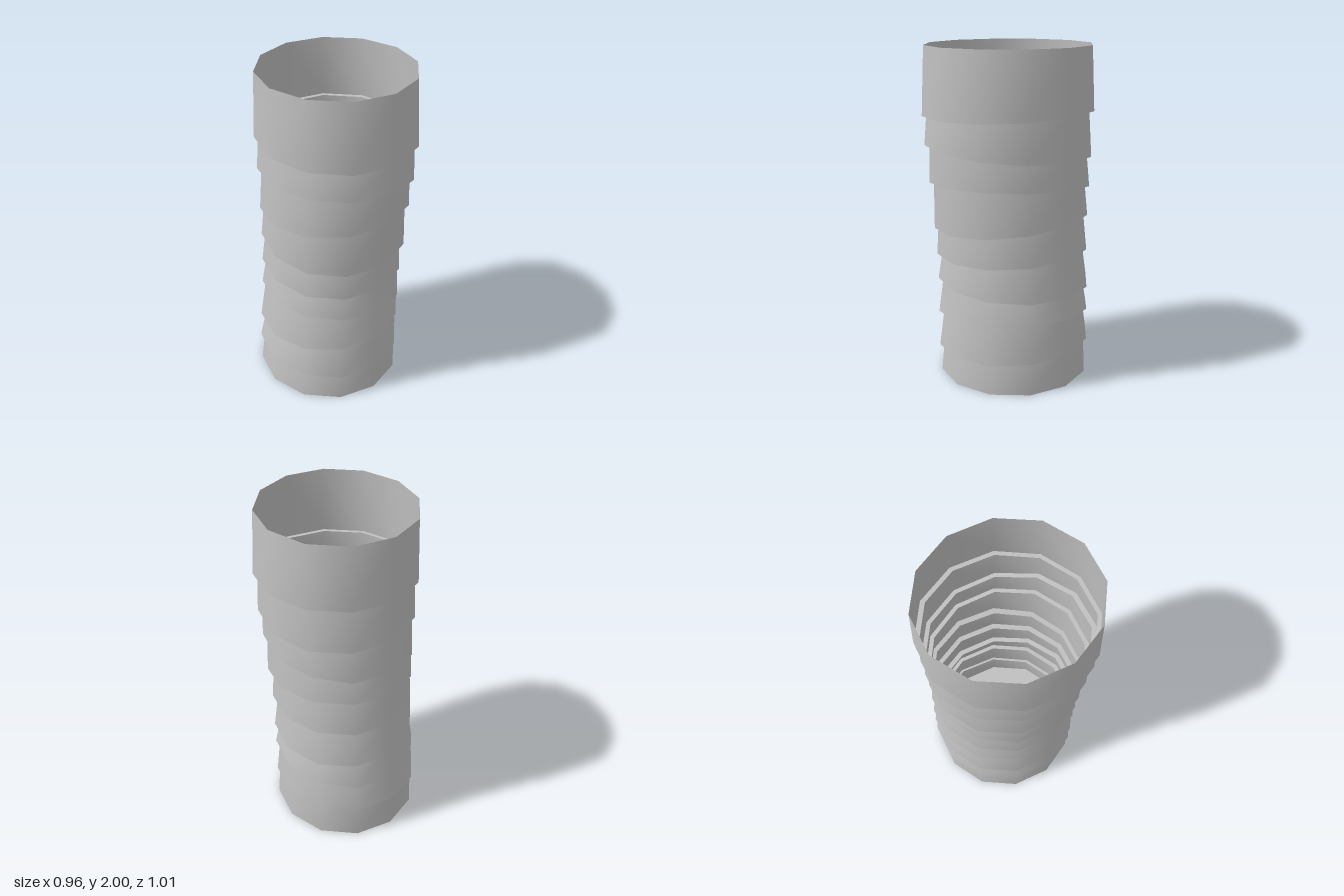
import * as THREE from 'three';

const SIDES = 12;

// Twelve-cornered hoop, tilted about its centre.
// ext = [xMin, xMax, zMin, zMax], tilt = [height, rise toward +x, rise toward +z]
function hoop([x0, x1, z0, z1], [y, tx, tz]) {
  const points = [];
  for (let i = 0; i < SIDES; i++) {
    const t = (i / SIDES) * Math.PI * 2, c = Math.cos(t), s = Math.sin(t);
    points.push([(x0 + x1) / 2 + c * (x1 - x0) / 2, y + tx * c + tz * s, (z0 + z1) / 2 + s * (z1 - z0) / 2]);
  }
  return points;
}

// Smooth band between two hoops
function band(lower, upper) {
  const index = [];
  for (let i = 0; i < SIDES; i++) {
    const j = (i + 1) % SIDES;
    index.push(i, i + SIDES, j, j, i + SIDES, j + SIDES);
  }
  const geo = new THREE.BufferGeometry();
  geo.setAttribute('position', new THREE.Float32BufferAttribute([...lower, ...upper].flat(), 3));
  geo.setIndex(index);
  geo.computeVertexNormals();
  return geo;
}

export function createModel() {
  const group = new THREE.Group();
  group.name = 'segmentedTrunk';
  const grey = new THREE.MeshStandardMaterial({ color: 0xc0c0c0, side: THREE.DoubleSide });
  grey.name = 'grey';

  const add = (name, geo) => {
    const mesh = new THREE.Mesh(geo, grey);
    mesh.name = name;
    group.add(mesh);
    return mesh;
  };

  // Height and tilt of each joint, from the ground to the open rim
  const joints = [
    [0, 0, 0], [0.197, 0, -0.027], [0.4, 0.035, -0.003], [0.597, -0.025, 0.02], [0.792, 0, -0.018],
    [0.985, 0.005, -0.045], [1.2, 0.035, 0.018], [1.412, -0.018, 0.03], [1.625, 0, -0.017], [2, 0, 0],
  ];
  // Lower and upper extents of each segment
  const segments = [
    [[-0.48, 0.41, -0.495, 0.425], [-0.455, 0.395, -0.485, 0.41]],
    [[-0.48, 0.41, -0.505, 0.435], [-0.44, 0.385, -0.475, 0.405]],
    [[-0.47, 0.41, -0.5, 0.435], [-0.43, 0.38, -0.465, 0.405]],
    [[-0.45, 0.41, -0.495, 0.435], [-0.42, 0.38, -0.46, 0.41]],
    [[-0.443, 0.412, -0.485, 0.44], [-0.418, 0.395, -0.46, 0.43]],
    [[-0.44, 0.43, -0.48, 0.452], [-0.42, 0.42, -0.46, 0.45]],
    [[-0.44, 0.445, -0.485, 0.475], [-0.42, 0.437, -0.465, 0.47]],
    [[-0.445, 0.463, -0.49, 0.5], [-0.43, 0.452, -0.47, 0.485]],
    [[-0.452, 0.477, -0.498, 0.51], [-0.435, 0.455, -0.48, 0.49]],
  ];

  segments.forEach(([low, high], i) => {
    const top = hoop(high, joints[i + 1]);
    add('segment' + (i + 1), band(hoop(low, joints[i]), top));
    // Narrow underside where the next segment overhangs this one
    if (i < segments.length - 1) {
      add('ledge' + (i + 1), band(top, hoop(segments[i + 1][0], joints[i + 1])));
    }
  });

  // Closed base
  const [x0, x1, z0, z1] = segments[0][0];
  const base = add('base', new THREE.CircleGeometry(1, SIDES).rotateX(Math.PI / 2));
  base.scale.set((x1 - x0) / 2, 1, (z1 - z0) / 2);
  base.position.set((x0 + x1) / 2, 0, (z0 + z1) / 2);

  return group;
}
